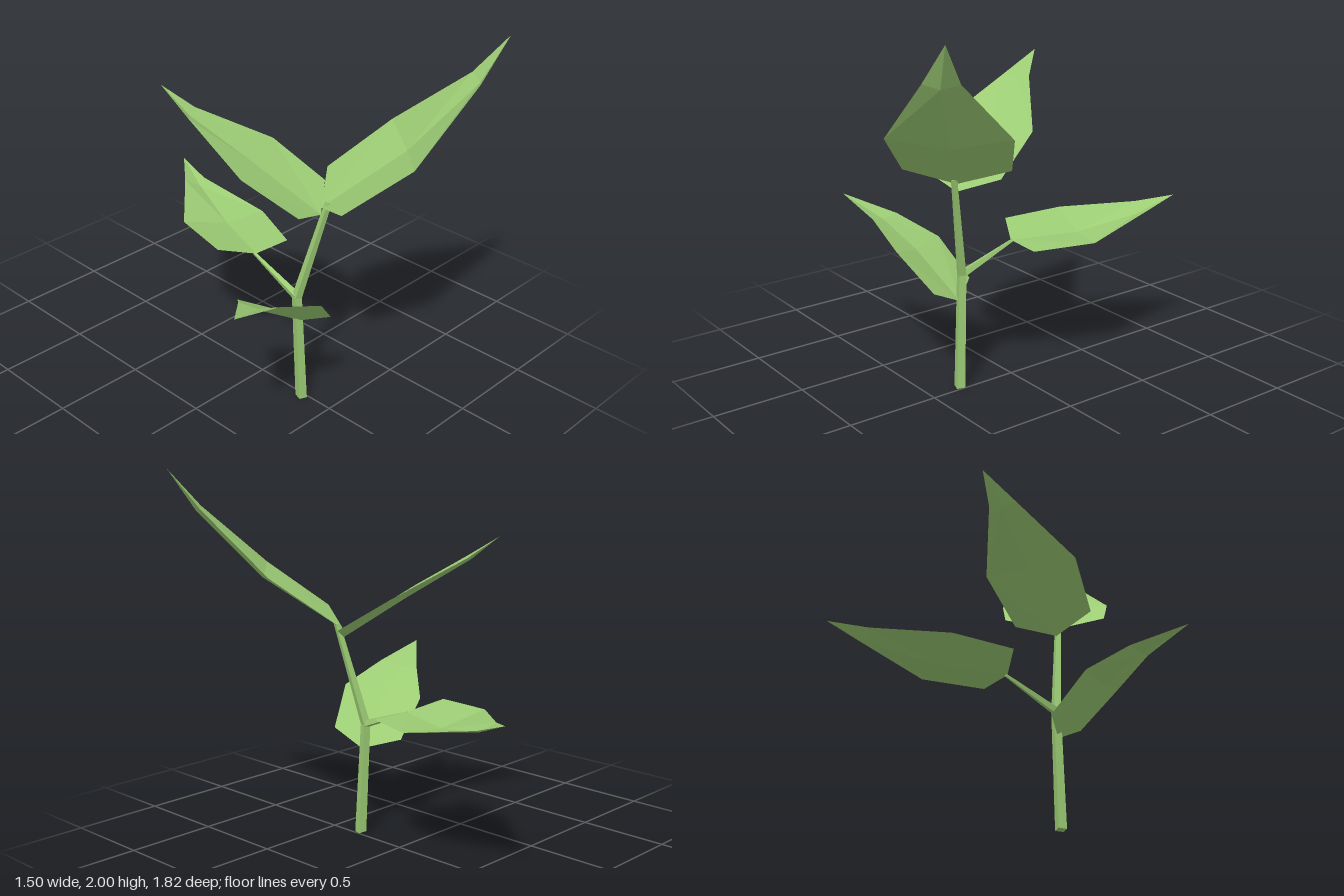
import * as THREE from 'three';

const green = new THREE.MeshStandardMaterial({ color: 0x9ccc74, flatShading: true, side: THREE.DoubleSide });
green.name = 'leafGreen';

// Folded leaf: base, [left, right] row, two [left, midrib, right] rows, tip
function leaf(name, base, row1, row2, row3, tip) {
  const points = [base, ...row1, ...row2, ...row3, tip];
  const faces = [
    0, 1, 3, 0, 3, 4, 0, 4, 5, 0, 5, 2,
    3, 6, 7, 3, 7, 4, 4, 7, 8, 4, 8, 5,
    6, 9, 7, 7, 9, 8,
  ];
  const geo = new THREE.BufferGeometry();
  geo.setAttribute('position', new THREE.Float32BufferAttribute(points.flat(), 3));
  geo.setIndex(faces);
  geo.computeVertexNormals();
  const mesh = new THREE.Mesh(geo, green);
  mesh.name = name;
  return mesh;
}

// Four-sided stalk whose rings follow [x, y, z, radius] stations
function stalk(name, stations) {
  const rows = stations.length - 1;
  const geo = new THREE.CylinderGeometry(1, 1, rows, 4, rows, false, 0.5);
  const centres = stations.map(s => new THREE.Vector3(s[0], s[1], s[2]));
  const dir = centres[rows].clone().sub(centres[0]).normalize();
  const turn = new THREE.Quaternion().setFromUnitVectors(new THREE.Vector3(0, 1, 0), dir);
  const pos = geo.attributes.position;
  const v = new THREE.Vector3();
  for (let i = 0; i < pos.count; i++) {
    const k = Math.round(pos.getY(i) + rows / 2);
    v.set(pos.getX(i), 0, pos.getZ(i)).multiplyScalar(stations[k][3]);
    v.applyQuaternion(turn).add(centres[k]);
    pos.setXYZ(i, v.x, v.y, v.z);
  }
  geo.computeVertexNormals();
  const mesh = new THREE.Mesh(geo, green);
  mesh.name = name;
  return mesh;
}

export function createModel() {
  const plant = new THREE.Group();
  plant.name = 'seedling';

  // Bent main stem and the side stalk carrying the back leaf
  plant.add(
    stalk('stem', [[-0.027, 0, 0.32, 0.032], [-0.04, 0.62, 0.29, 0.027], [0.062, 1.175, 0.4, 0.018]]),
    stalk('sideStalk', [[-0.04, 0.62, 0.29, 0.024], [-0.03, 0.742, -0.03, 0.009]]),
  );

  // Pair of leaves at the top of the stem
  plant.add(
    leaf('largeTopLeaf', [0.04, 1.14, 0.37],
      [[-0.08, 1.23, 0.61], [0.27, 1.23, 0.2]],
      [[0.15, 1.47, 0.85], [0.37, 1.43, 0.63], [0.54, 1.47, 0.39]],
      [[0.55, 1.8, 0.9], [0.62, 1.78, 0.85], [0.66, 1.8, 0.77]],
      [0.75, 2, 0.91]),
    leaf('smallTopLeaf', [0.04, 1.1, 0.37],
      [[0.22, 1.18, 0.23], [-0.18, 1.18, 0.425]],
      [[0.12, 1.36, -0.045], [-0.12, 1.335, 0.055], [-0.335, 1.36, 0.19]],
      [[-0.205, 1.56, -0.275], [-0.27, 1.545, -0.245], [-0.325, 1.56, -0.19]],
      [-0.315, 1.675, -0.4]),
  );

  // Lower leaves
  plant.add(
    leaf('lowerSideLeaf', [-0.03, 0.48, 0.31],
      [[-0.17, 0.53, 0.15], [0, 0.57, 0.49]],
      [[-0.38, 0.715, 0.2], [-0.3, 0.71, 0.4], [-0.185, 0.765, 0.59]],
      [[-0.53, 0.84, 0.365], [-0.5, 0.835, 0.47], [-0.45, 0.865, 0.565]],
      [-0.75, 0.935, 0.567]),
    leaf('lowerBackLeaf', [-0.03, 0.745, -0.02],
      [[0.19, 0.745, -0.003], [-0.21, 0.8, -0.12]],
      [[0.31, 0.76, -0.31], [0.09, 0.75, -0.37], [-0.15, 0.815, -0.45]],
      [[0.255, 0.84, -0.73], [0.2, 0.815, -0.7], [0.13, 0.86, -0.75]],
      [0.265, 0.9, -0.91]),
  );

  return plant;
}
